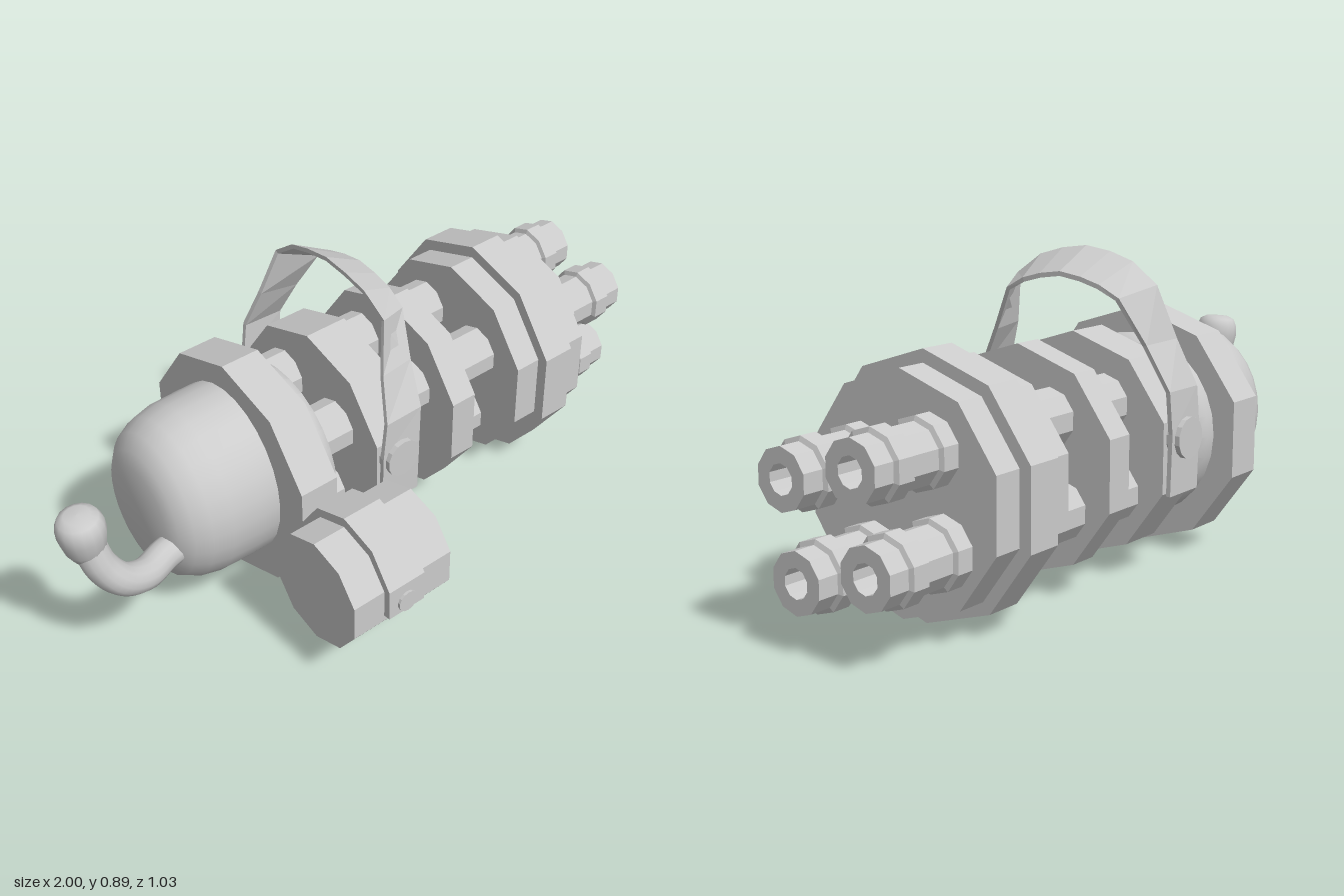
import * as THREE from 'three';
import { toCreasedNormals } from 'three/addons/utils/BufferGeometryUtils.js';

const AXIS_Y = 0.35, AXIS_Z = -0.175;

export function createModel() {
  const model = new THREE.Group();
  const flat = new THREE.MeshStandardMaterial({ color: 0xcccccc, flatShading: true });
  const smooth = new THREE.MeshStandardMaterial({ color: 0xcccccc });

  const add = (name, geometry, x, y, z, material = flat, parent = model) => {
    const mesh = new THREE.Mesh(geometry, material);
    mesh.name = name;
    mesh.position.set(x, y, z);
    parent.add(mesh);
    return mesh;
  };

  // Turned solid along x from [radius, x] pairs, with a corner pointing up
  const turned = (profile, sides = 10) =>
    new THREE.LatheGeometry(profile.map(([r, x]) => new THREE.Vector2(r, x)), sides, Math.PI / 2)
      .rotateZ(-Math.PI / 2);
  const disc = (r, x0, x1) => turned([[0, x0], [r, x0], [r, x1], [0, x1]]);

  // Motor housing and its front collar
  const housing = toCreasedNormals(turned([
    [0, -0.69], [0.14, -0.69], [0.185, -0.675], [0.225, -0.645], [0.25, -0.6],
    [0.264, -0.54], [0.267, -0.45], [0.267, -0.3], [0, -0.3]], 28), 0.7);
  add('motorHousing', housing, 0, 0.355, AXIS_Z, smooth).scale.z = 0.87;
  add('housingCollar', toCreasedNormals(turned([
    [0, -0.32], [0.268, -0.32], [0.268, -0.24], [0.255, -0.21], [0.235, -0.2], [0, -0.2]], 28), 0.7),
  0, 0.355, AXIS_Z, smooth);

  // Ten-sided plates along the axis: name, radius, start, end
  [
    ['housingRing', 0.348, -0.39, -0.27],
    ['carryPlate', 0.315, -0.1, 0.035],
    ['middlePlate', 0.312, 0.19, 0.275],
    ['frontPlateRear', 0.313, 0.45, 0.535],
    ['frontPlateRing', 0.348, 0.535, 0.64],
    ['frontPlateFace', 0.313, 0.64, 0.725],
  ].forEach(([name, r, x0, x1]) => add(name, disc(r, x0, x1), 0, AXIS_Y, AXIS_Z));

  // Four barrels with raised muzzle bands and open bores
  const barrel = turned([
    [0, -0.22], [0.08, -0.22], [0.08, 0.735], [0.093, 0.735], [0.093, 0.785],
    [0.08, 0.79], [0.08, 0.88], [0.093, 0.885], [0.093, 0.935], [0.08, 0.94],
    [0.08, 1], [0.039, 1], [0.039, 0.9], [0, 0.9]]);
  [[0.427, -0.055], [0.48, -0.28], [0.183, -0.095], [0.24, -0.32]]
    .forEach(([y, z]) => add('barrel', barrel, 0, y, z));

  // Ammunition drum with a strap over its upper half
  add('ammoDrum', disc(0.166, -0.49, -0.16), 0, 0.303, 0.33);
  const strap = new THREE.Shape();
  strap.moveTo(-0.178, -0.033);
  strap.lineTo(0.178, -0.033);
  for (let i = 0; i < 5; i++) {
    const a = THREE.MathUtils.degToRad(18 + 36 * i);
    strap.lineTo(0.187 * Math.cos(a), 0.194 * Math.sin(a));
  }
  add('drumStrap', new THREE.ExtrudeGeometry(strap, { depth: 0.12, bevelEnabled: false })
    .rotateY(Math.PI / 2), -0.39, 0.303, 0.33);

  const bolt = (name, r, length, x, y, z) =>
    add(name, new THREE.CylinderGeometry(r, r, length, 14).rotateX(Math.PI / 2), x, y, z);
  bolt('drumBolt', 0.031, 0.04, -0.33, 0.303, 0.495);
  for (const side of [-1, 1]) bolt('handleBolt', 0.057, 0.05, -0.035, 0.402, AXIS_Z + side * 0.315);

  // Carry handle: swept strap, [centre x, half width, y, z from axis, inward tilt]
  const half = [
    [-0.033, 0.066, 0.25, 0.322, 0], [-0.033, 0.066, 0.42, 0.326, 0],
    [-0.022, 0.063, 0.535, 0.325, 0.004], [0, 0.058, 0.66, 0.276, 0.02],
    [0.034, 0.054, 0.803, 0.235, 0.055], [0.036, 0.058, 0.86, 0.155, 0.06],
    [0.035, 0.06, 0.882, 0.08, 0.06]];
  const mirrored = half.map(([x, w, y, z, t]) => [x, w, y, -z, t]).reverse();
  const stations = [...half, [0.035, 0.06, 0.893, 0, 0.06], ...mirrored];
  const rings = stations.map(([x, w, y, z, t], i) => {
    const a = stations[Math.max(i - 1, 0)], b = stations[Math.min(i + 1, stations.length - 1)];
    // Inward normal of the path in the y-z plane
    const n = new THREE.Vector2(a[2] - b[2], b[3] - a[3]).normalize();
    const corner = (dx, d) => [x + dx, y + n.y * d, z + n.x * d];
    return [corner(-w, 0), corner(w, t), corner(w, t + 0.013), corner(-w, 0.013)];
  });
  const verts = [], index = [];
  rings.forEach((ring) => ring.forEach((p) => verts.push(...p)));
  for (let i = 0; i < rings.length - 1; i++) {
    for (let j = 0; j < 4; j++) {
      const a = i * 4 + j, b = i * 4 + (j + 1) % 4;
      index.push(a, b, b + 4, a, b + 4, a + 4);
    }
  }
  const end = (rings.length - 1) * 4;
  index.push(0, 2, 1, 0, 3, 2, end, end + 1, end + 2, end, end + 2, end + 3);
  const handle = new THREE.BufferGeometry();
  handle.setAttribute('position', new THREE.Float32BufferAttribute(verts, 3));
  handle.setIndex(index);
  handle.computeVertexNormals();
  const handleMaterial = flat.clone();
  handleMaterial.side = THREE.DoubleSide;
  add('carryHandle', handle, 0, 0, AXIS_Z, handleMaterial);

  // Bent rear grip with a rounded knob
  const grip = new THREE.Group();
  grip.name = 'rearGrip';
  model.add(grip);
  const path = new THREE.CatmullRomCurve3([
    [-0.62, 0.293, -0.065], [-0.7, 0.295, -0.05], [-0.79, 0.305, -0.012],
    [-0.865, 0.345, 0], [-0.91, 0.41, -0.015], [-0.93, 0.5, -0.038],
  ].map((p) => new THREE.Vector3(...p)));
  add('gripArm', new THREE.TubeGeometry(path, 28, 0.045, 14), 0, 0, 0, smooth, grip);
  const knob = new THREE.LatheGeometry([
    [0, -0.065], [0.042, -0.065], [0.056, -0.035], [0.065, 0.01], [0.064, 0.04],
    [0.054, 0.062], [0.035, 0.072], [0, 0.074]].map((p) => new THREE.Vector2(...p)), 16);
  add('gripKnob', knob, -0.934, 0.508, -0.042, smooth, grip).rotation.z = 0.1;

  return model;
}
